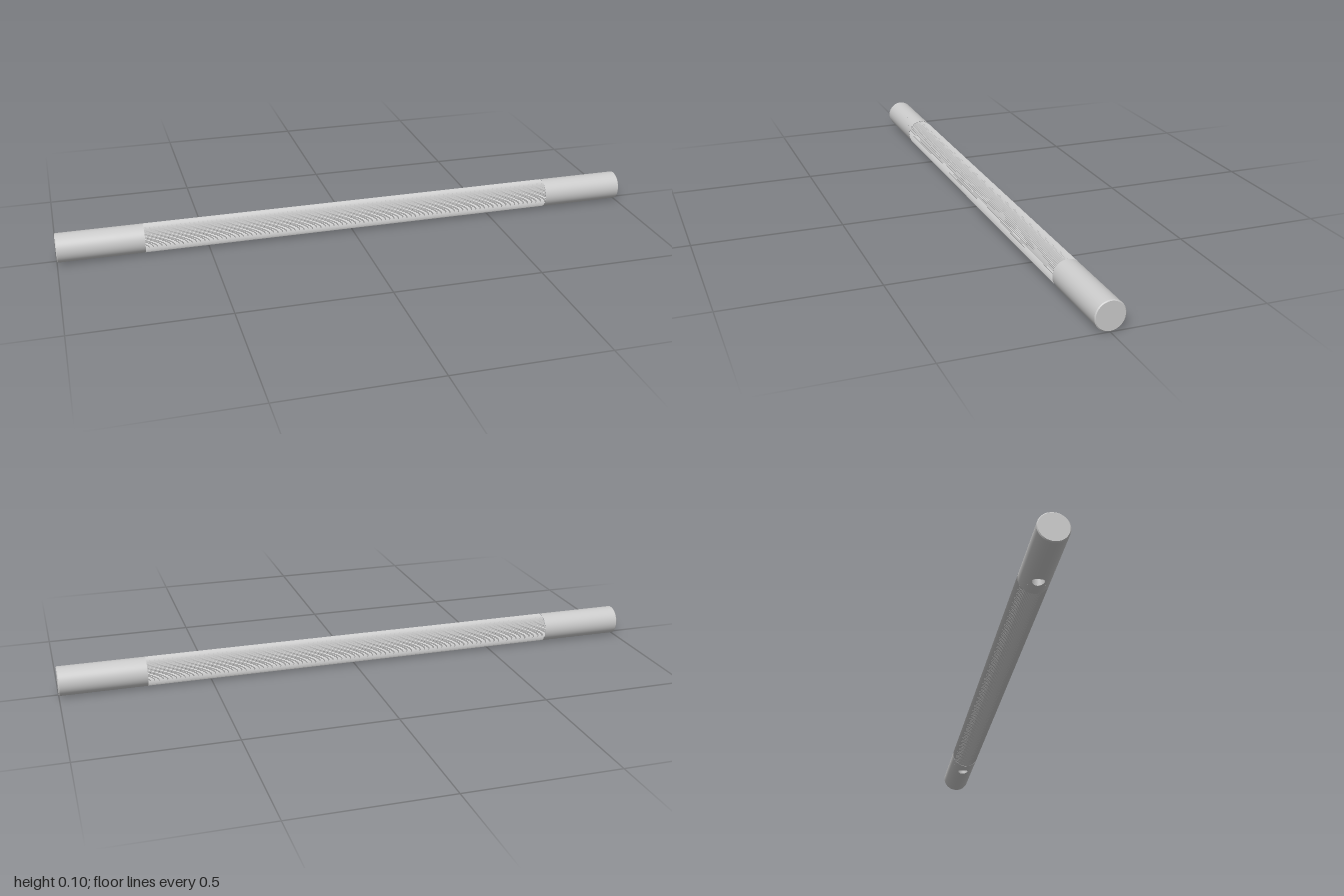
import * as THREE from 'three';
import { ParametricGeometry } from 'three/addons/geometries/ParametricGeometry.js';

const R = 0.0485;        // rod radius
const GRIP = 0.713;      // half length of the ribbed grip
const HOLE_X = 0.78, HOLE_R = 0.019, PATCH = 0.03;
const material = new THREE.MeshStandardMaterial({ color: 0xcccccc });

function add(parent, name, geometry) {
  const mesh = new THREE.Mesh(geometry, material);
  mesh.name = name;
  parent.add(mesh);
}

// Revolve [x, radius] points around the x axis; gap leaves an opening at the bottom
function revolve(points, gap = 0) {
  const profile = points.map(([x, r]) => new THREE.Vector2(r, x));
  return new THREE.LatheGeometry(profile, 64, Math.PI / 2 + gap, Math.PI * 2 - 2 * gap).rotateZ(-Math.PI / 2);
}

const underside = (z) => -Math.sqrt(R * R - z * z);

// Smooth end with a chamfered tip and a blind hole drilled from below
function createEnd() {
  const end = new THREE.Group();
  const x0 = HOLE_X - PATCH, x1 = HOLE_X + PATCH;
  add(end, 'innerSleeve', revolve([[GRIP, R], [x0, R]]));
  add(end, 'holeSleeve', revolve([[x0, R], [x1, R]], Math.asin(PATCH / R)));
  add(end, 'outerSleeve', revolve([[x1, R], [0.997, R]]));
  add(end, 'chamfer', revolve([[0.997, R], [1, R - 0.003]]));
  add(end, 'endCap', new THREE.CircleGeometry(R - 0.003, 64).rotateY(Math.PI / 2).translate(1, 0, 0));

  // Curved patch running from the round hole edge to a square border
  add(end, 'holeSurround', new ParametricGeometry((u, v, p) => {
    const a = -u * Math.PI * 2, c = Math.cos(a), s = Math.sin(a);
    const border = PATCH / Math.max(Math.abs(c), Math.abs(s));
    const r = THREE.MathUtils.lerp(HOLE_R, border, v);
    p.set(HOLE_X + r * c, underside(r * s), r * s);
  }, 48, 6));

  add(end, 'holeWall', new ParametricGeometry((u, v, p) => {
    const a = u * Math.PI * 2, z = HOLE_R * Math.sin(a);
    p.set(HOLE_X + HOLE_R * Math.cos(a), underside(z) * (1 - v), z);
  }, 48, 1));
  add(end, 'holeFloor', new THREE.CircleGeometry(HOLE_R, 48).rotateX(Math.PI / 2).translate(HOLE_X, 0, 0));
  return end;
}

// Grip with fine lengthwise ridges
function createGrip() {
  const ridges = 64, outline = [];
  for (let i = 0; i < ridges * 2; i++) {
    const a = (i / ridges) * Math.PI, r = i % 2 ? R - 0.002 : R;
    outline.push(new THREE.Vector2(r * Math.cos(a), r * Math.sin(a)));
  }
  return new THREE.ExtrudeGeometry(new THREE.Shape(outline), { depth: GRIP * 2, bevelEnabled: false })
    .translate(0, 0, -GRIP).rotateY(Math.PI / 2);
}

export function createModel() {
  const model = new THREE.Group();
  model.name = 'rod';
  const body = new THREE.Group();
  body.name = 'rodBody';
  body.position.y = R;
  add(body, 'ribbedGrip', createGrip());
  for (const side of ['left', 'right']) {
    const end = createEnd();
    end.name = side + 'End';
    if (side === 'right') end.rotation.y = Math.PI;
    body.add(end);
  }
  model.add(body);
  return model;
}
